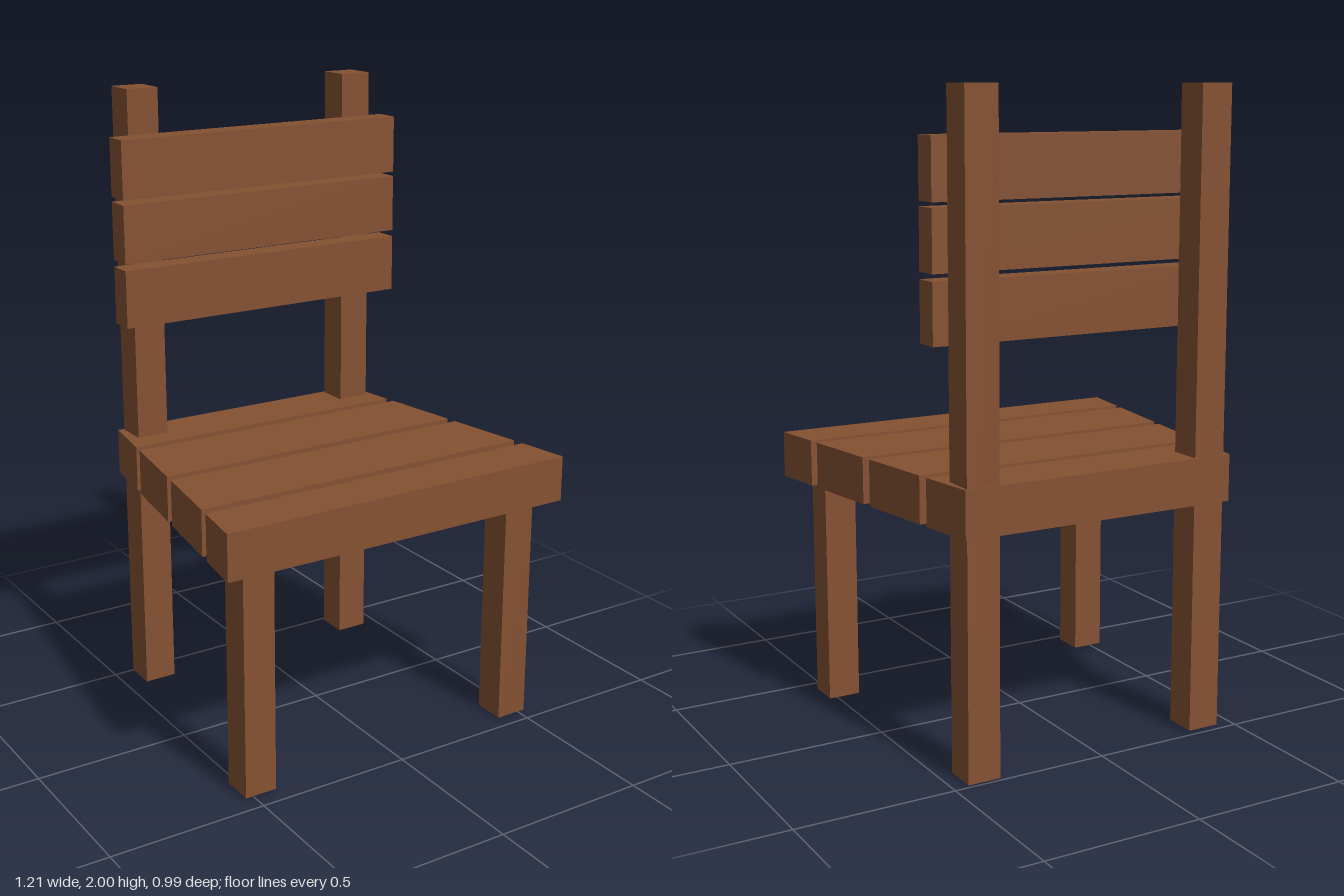
import * as THREE from 'three';

export function createModel() {
  const model = new THREE.Group();
  model.name = 'chair';
  const wood = new THREE.MeshStandardMaterial({ color: 0x855132, flatShading: true });

  // Box given by its lower and upper corners
  function block(name, x0, x1, y0, y1, z0, z1) {
    const mesh = new THREE.Mesh(new THREE.BoxGeometry(x1 - x0, y1 - y0, z1 - z0), wood);
    mesh.position.set((x0 + x1) / 2, (y0 + y1) / 2, (z0 + z1) / 2);
    mesh.name = name;
    model.add(mesh);
    return mesh;
  }

  // Seat planks, tapering towards the back
  const halfWidth = (z) => 0.531 + 0.149 * z;
  const planks = [[0.325, 0.493], [0.027, 0.29], [-0.27, -0.008], [-0.493, -0.304]];
  planks.forEach(([z0, z1], i) => {
    const plank = block(`seatPlank${i + 1}`, -1, 1, 0.736, 0.883, z0, z1);
    const p = plank.geometry.attributes.position;
    for (let v = 0; v < p.count; v++) {
      p.setX(v, Math.sign(p.getX(v)) * halfWidth(p.getZ(v) + plank.position.z));
    }
    plank.geometry.computeVertexNormals();
  });

  // Front legs, ending under the seat
  block('frontLegLeft', 0.421, 0.526, 0, 0.737, 0.345, 0.449);
  block('frontLegRight', -0.531, -0.427, 0.008, 0.737, 0.345, 0.449);

  // Back legs, running up as the posts of the backrest
  block('backPostLeft', 0.345, 0.45, 0, 2, -0.487, -0.382);
  block('backPostRight', -0.438, -0.333, 0.008, 2, -0.487, -0.382);

  // Backrest slats
  [1.275, 1.479, 1.677].forEach((y, i) => {
    block(`backSlat${i + 1}`, -0.501, 0.499, y, y + 0.183, -0.383, -0.303);
  });

  return model;
}
